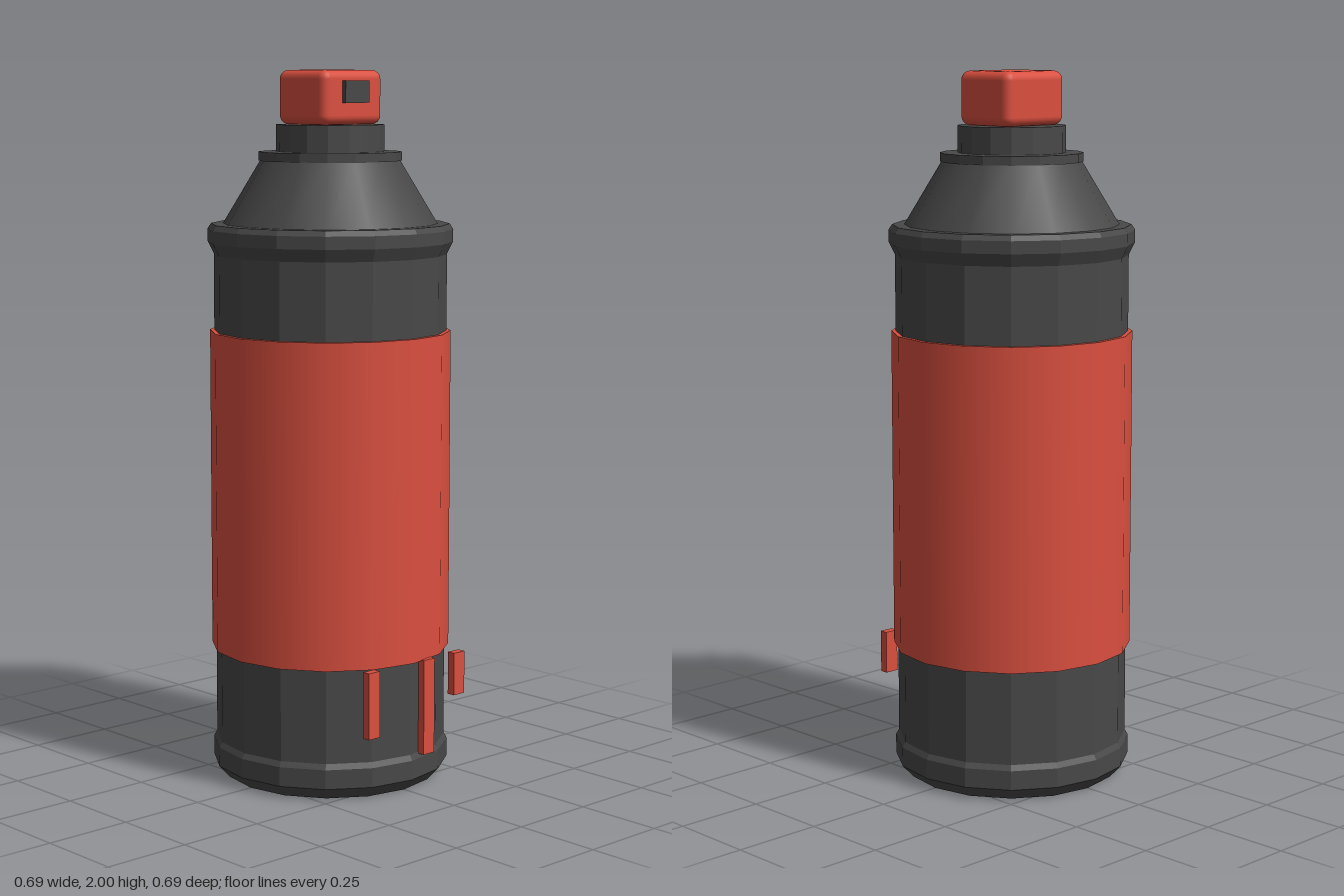
import * as THREE from 'three';
import { RoundedBoxGeometry } from 'three/addons/geometries/RoundedBoxGeometry.js';

const SIDES = 16;

export function createModel() {
  const group = new THREE.Group();
  const charcoal = new THREE.MeshStandardMaterial({ color: 0x484848 });
  charcoal.name = 'charcoal';
  const red = new THREE.MeshStandardMaterial({ color: 0xda4f3f });
  red.name = 'red';

  function add(name, geometry, material, x = 0, y = 0, z = 0) {
    const mesh = new THREE.Mesh(geometry, material);
    mesh.name = name;
    mesh.position.set(x, y, z);
    group.add(mesh);
  }

  // Revolved part from [radius, y] points, bottom to top, with crisp facets
  function faceted(name, points) {
    const lathe = new THREE.LatheGeometry(points.map(p => new THREE.Vector2(...p)), SIDES);
    const geometry = lathe.toNonIndexed();
    geometry.computeVertexNormals();
    add(name, geometry, charcoal);
  }

  // Can: chamfered base, straight wall, flared shoulder rim
  faceted('body', [
    [0, 0], [0.305, 0], [0.337, 0.035], [0.337, 0.09], [0.328, 0.105],
    [0.328, 1.49], [0.345, 1.525], [0.345, 1.56], [0.335, 1.575], [0, 1.575],
  ]);

  // Smooth shoulder cone
  add('shoulder', new THREE.CylinderGeometry(0.195, 0.303, 0.18, SIDES, 1, true), charcoal, 0, 1.662);

  // Collar and valve neck
  faceted('neck', [
    [0.195, 1.75], [0.2, 1.75], [0.2, 1.775], [0.151, 1.775], [0.151, 1.85], [0, 1.85],
  ]);

  // Painted band around the can
  add('label', new THREE.CylinderGeometry(0.34, 0.34, 0.905, SIDES), red, 0, 0.8225);

  // Spray button and its outlet
  add('sprayButton', new RoundedBoxGeometry(0.226, 0.15, 0.197, 3, 0.025), red, 0, 1.925, 0);
  add('sprayOutlet', new THREE.BoxGeometry(0.09, 0.06, 0.04), charcoal, 0, 1.94, 0.091);

  // Paint drips below the band: [x, bottom]
  for (const [x, bottom] of [[-0.152, 0.185], [0.061, 0.1], [0.181, 0.25]]) {
    const height = 0.372 - bottom;
    add('paintDrip', new THREE.BoxGeometry(0.042, height, 0.024), red, x, bottom + height / 2, 0.33);
  }

  return group;
}
